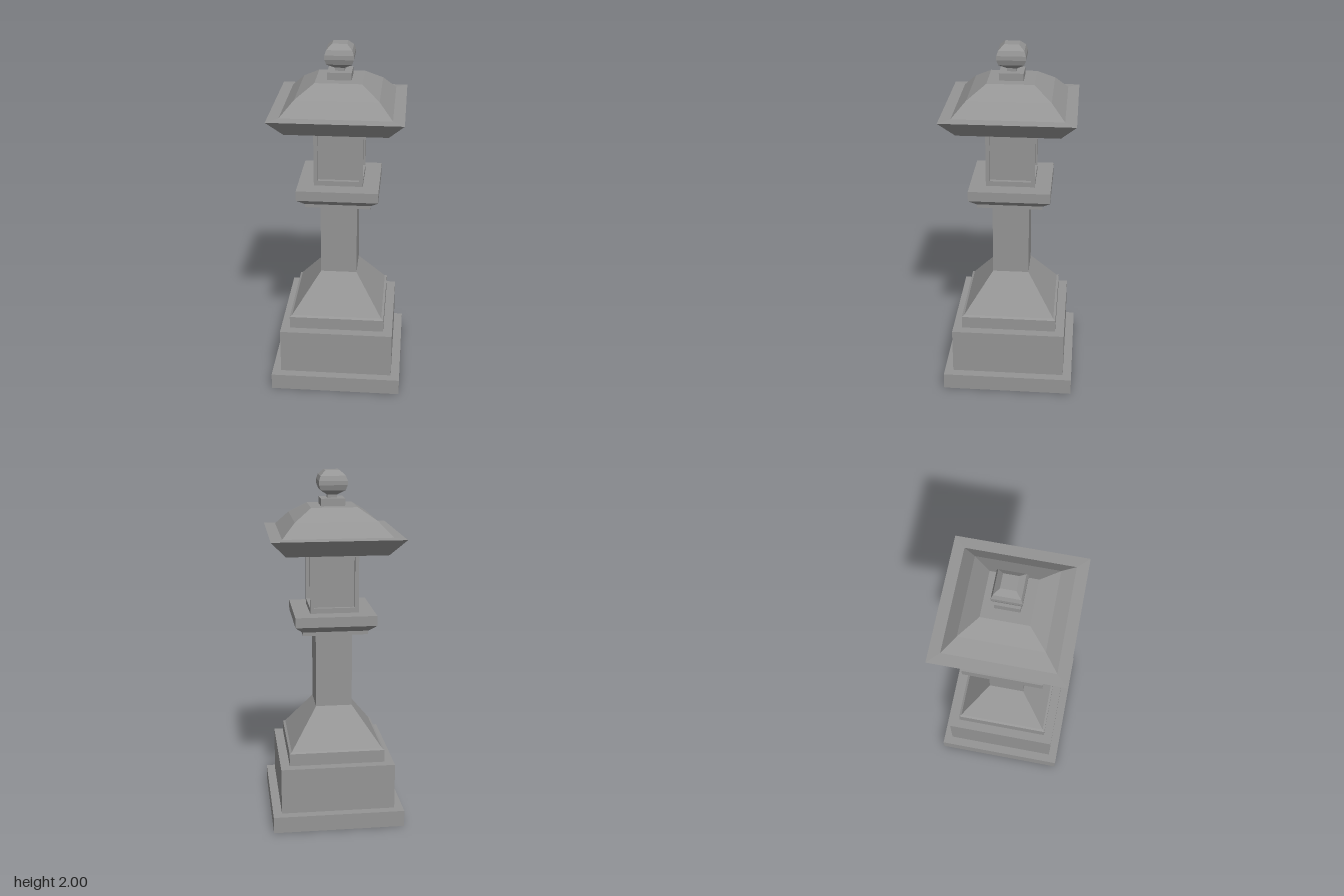
import * as THREE from 'three';

const material = new THREE.MeshStandardMaterial({ color: 0x959595, flatShading: true });

// Square solid from [halfWidth, y] points, bottom to top, capped at both ends
function squareSolid(name, profile) {
  const capped = [[0, profile[0][1]], ...profile, [0, profile[profile.length - 1][1]]];
  const points = capped.map(([half, y]) => new THREE.Vector2(half * Math.SQRT2, y));
  const mesh = new THREE.Mesh(new THREE.LatheGeometry(points, 4, Math.PI / 4), material);
  mesh.name = name;
  return mesh;
}

const block = (name, half, y0, y1) => squareSolid(name, [[half, y0], [half, y1]]);

// Lamp housing with a recessed panel on each side
function createLampHousing() {
  const group = new THREE.Group();
  group.name = 'lampHousing';
  const outer = 0.137, inner = 0.115, bottom = 1.217, sill = 1.246, lintel = 1.533, top = 1.566;
  group.add(
    block('sill', outer, bottom, sill),
    block('recessedPanels', inner, sill, lintel),
    block('lintel', outer, lintel, top)
  );
  const width = outer - inner;
  for (const x of [-1, 1]) {
    for (const z of [-1, 1]) {
      const post = new THREE.Mesh(new THREE.BoxGeometry(width, lintel - sill, width), material);
      post.position.set(x * (outer - width / 2), (sill + lintel) / 2, z * (outer - width / 2));
      post.name = 'cornerPost';
      group.add(post);
    }
  }
  return group;
}

export function createModel() {
  const model = new THREE.Group();
  model.name = 'stoneLantern';

  // Stepped base, tapered foot with a chamfered step, and shaft
  model.add(
    block('baseSlab', 0.375, 0, 0.095),
    block('baseBlock', 0.325, 0.095, 0.362),
    squareSolid('taperedFoot', [[0.273, 0.362], [0.273, 0.434], [0.26, 0.441], [0.104, 0.657]]),
    block('shaft', 0.104, 0.657, 1.102)
  );

  // Platform under the lamp
  model.add(
    block('platformCollar', 0.183, 1.102, 1.123),
    squareSolid('platform', [[0.185, 1.123], [0.228, 1.16], [0.228, 1.217]])
  );

  model.add(createLampHousing());

  // Roof with flared eaves, a slightly sloping rim and a two-pitch hip
  model.add(
    squareSolid('roof', [
      [0.28, 1.566], [0.363, 1.66], [0.3, 1.664], [0.226, 1.742], [0.128, 1.807]
    ])
  );

  // Finial
  model.add(
    block('finialPlinth', 0.067, 1.807, 1.848),
    squareSolid('finial', [
      [0.026, 1.848], [0.026, 1.865], [0.069, 1.893], [0.079, 1.922],
      [0.079, 1.945], [0.07, 1.972], [0.04, 2]
    ])
  );

  return model;
}
